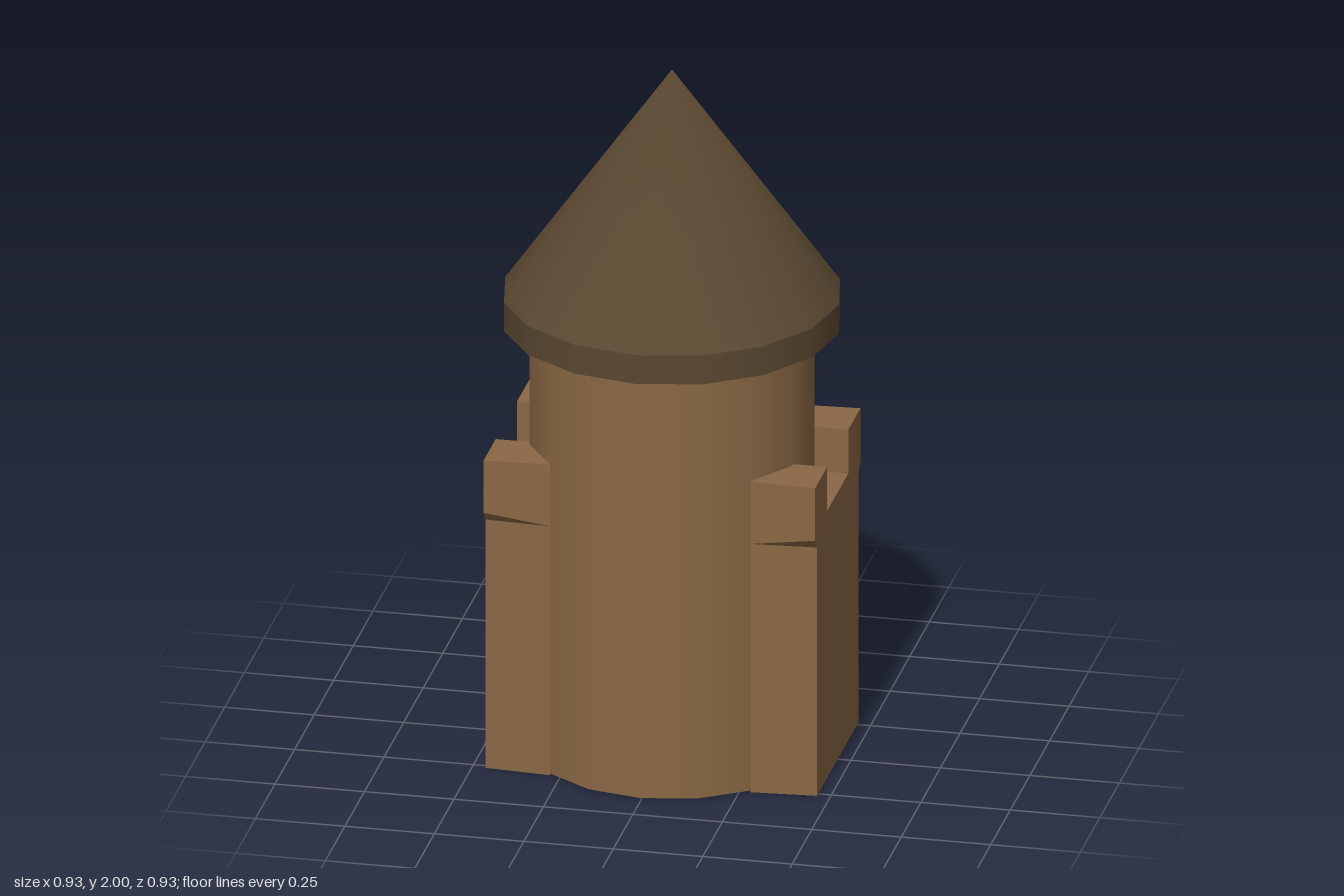
import * as THREE from 'three';

const SIDES = 16;
const TOWER_R = 0.395, ROOF_R = 0.466;

function createMaterial(name, color) {
  const material = new THREE.MeshStandardMaterial({ color });
  material.name = name;
  return material;
}

function addMesh(parent, name, geometry, material, y = 0) {
  const mesh = new THREE.Mesh(geometry, material);
  mesh.name = name;
  mesh.position.y = y;
  parent.add(mesh);
  return mesh;
}

// Wall stub with two merlons; its sides flare from the tower to the outer face
function wallStubGeometry() {
  const inner = 0.28, outer = 0.463;
  const half = [[0.265, 0], [0.265, 0.735], [0.29, 0.765], [0.29, 0.92], [0.135, 0.92], [0.135, 0.79]];
  const mirrored = half.map(([z, y]) => [-z, y]).reverse();
  const shape = new THREE.Shape([...half, ...mirrored].map(([z, y]) => new THREE.Vector2(z, y)));
  const geometry = new THREE.ExtrudeGeometry(shape, { depth: outer - inner, bevelEnabled: false });

  // At the tower end the overhang closes up to a single edge
  const p = geometry.attributes.position;
  for (let i = 0; i < p.count; i++) {
    if (p.getZ(i) > 0.01) continue;
    if (Math.abs(p.getX(i)) > 0.2) p.setX(i, Math.sign(p.getX(i)) * 0.279);
    if (Math.abs(p.getY(i) - 0.765) < 0.001) p.setY(i, 0.737);
  }
  geometry.computeVertexNormals();
  geometry.translate(0, 0, inner);
  geometry.rotateY(Math.PI / 2);
  return geometry;
}

// Cone whose shading blends to straight up at the tip
function roofConeGeometry(height) {
  const geometry = new THREE.ConeGeometry(ROOF_R, height, SIDES, 1, true);
  const { position, normal } = geometry.attributes;
  for (let i = 0; i < position.count; i++) {
    if (position.getY(i) > 0) normal.setXYZ(i, 0, 1, 0);
  }
  return geometry;
}

export function createModel() {
  const model = new THREE.Group();
  model.name = 'roundTower';
  const stone = createMaterial('brown stone', 0x8a6845);
  const roofing = createMaterial('dark roof', 0x5a4831);

  // Round tower body
  const bodyBottom = 0.005, bodyTop = 1.3;
  addMesh(model, 'towerBody',
    new THREE.CylinderGeometry(TOWER_R, TOWER_R, bodyTop - bodyBottom, SIDES),
    stone, (bodyTop + bodyBottom) / 2);

  // Battlemented wall stubs on both sides
  const stub = wallStubGeometry();
  addMesh(model, 'leftWall', stub, stone);
  addMesh(model, 'rightWall', stub, stone).rotation.y = Math.PI;

  // Roof with a straight brim
  const brimBottom = 1.26, brimTop = 1.345;
  const roof = new THREE.Group();
  roof.name = 'roof';
  model.add(roof);
  addMesh(roof, 'roofBrim',
    new THREE.CylinderGeometry(ROOF_R, ROOF_R, brimTop - brimBottom, SIDES),
    roofing, (brimTop + brimBottom) / 2);
  addMesh(roof, 'roofCone', roofConeGeometry(2 - brimTop), roofing, (2 + brimTop) / 2);

  return model;
}
